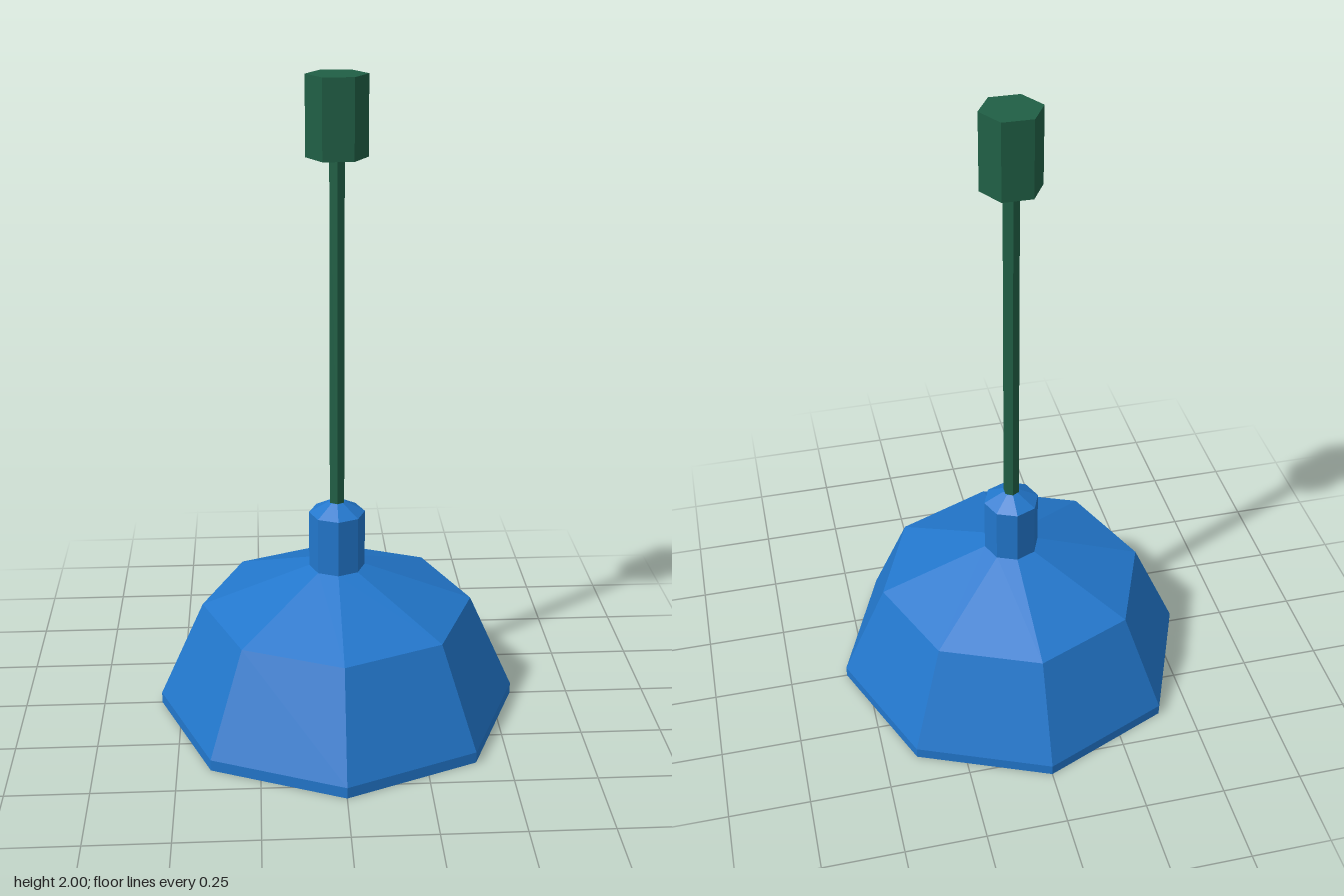
import * as THREE from 'three';

const material = (color) => new THREE.MeshStandardMaterial({ color, flatShading: true });

export function createModel() {
  const lamp = new THREE.Group();
  lamp.name = 'pendantLamp';
  const blue = material(0x2277cc);
  const green = material(0x205f45);
  const grey = material(0xcccccc);

  // Faceted solid of revolution from [radius, height] pairs; going up faces outward
  function lathe(name, profile, sides, mat, turn = 0) {
    const points = profile.map(([r, y]) => new THREE.Vector2(r, y));
    const mesh = new THREE.Mesh(new THREE.LatheGeometry(points, sides), mat);
    mesh.name = name;
    mesh.rotation.y = turn;
    lamp.add(mesh);
  }

  // Shade: bottom lip, rim band, steep wall and shallow roof
  lathe('shade', [[0.525, 0], [0.565, 0], [0.565, 0.035], [0.425, 0.35], [0.085, 0.48]], 8, blue);
  // Inside of the shade, profile runs downward so it faces inward
  lathe('shadeLining', [[0, 0.45], [0.08, 0.45], [0.4, 0.33], [0.525, 0.03], [0.525, 0]], 8, green);
  // Socket neck with bevelled cap
  lathe('socket', [[0.087, 0.47], [0.087, 0.66], [0.025, 0.695], [0, 0.695]], 8, blue);
  // Bulb with pointed tip
  lathe('bulb', [[0, 0.005], [0.08, 0.07], [0.08, 0.46]], 6, grey, Math.PI / 6);
  // Hanging rod and ceiling mount
  lathe('rod', [[0.025, 0.68], [0.025, 1.77]], 6, green);
  lathe('ceilingMount', [[0, 1.765], [0.091, 1.765], [0.091, 2], [0, 2]], 6, green, Math.PI / 6);

  return lamp;
}
